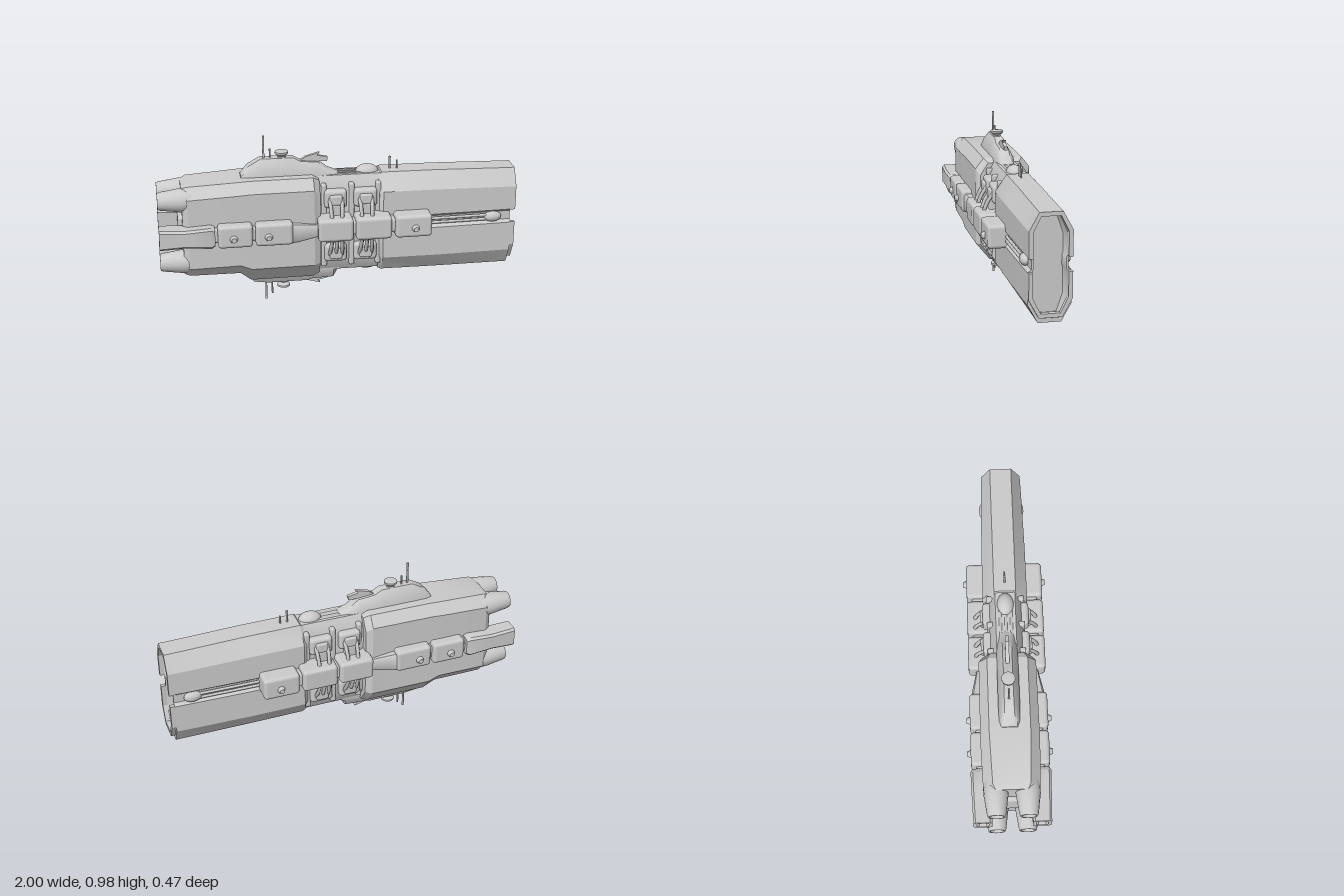
import * as THREE from 'three';
import { toCreasedNormals } from 'three/addons/utils/BufferGeometryUtils.js';
import { RoundedBoxGeometry } from 'three/addons/geometries/RoundedBoxGeometry.js';

const MID = 0.475; // height of the ship's long axis
const mat = new THREE.MeshStandardMaterial({ color: 0xcccccc });
const openMat = new THREE.MeshStandardMaterial({ color: 0xcccccc, side: THREE.DoubleSide });

// Chamfered half profile as [z, y], top to bottom, with an optional side groove
function half({ top, bot, w, tw, bw, ct, cb, g = 0 }) {
  const p = [[tw, top], [w, top - ct]];
  if (g) p.push([w, MID + 0.04], [w - g, MID + 0.025], [w - g, MID - 0.025], [w, MID - 0.04]);
  return [...p, [w, bot + cb], [bw, bot]];
}

// Skin through mirrored half profiles placed along x, capped at both ends
function loft(stations, crease = 0.5) {
  const rings = stations.map(([x, h]) => [
    ...h.map(([z, y]) => new THREE.Vector3(x, y, z)),
    ...[...h].reverse().map(([z, y]) => new THREE.Vector3(x, y, -z))]);
  const pos = [];
  const tri = (...v) => v.forEach(p => pos.push(p.x, p.y, p.z));
  const n = rings[0].length;
  const center = r => r.reduce((s, p) => s.add(p), new THREE.Vector3()).divideScalar(n);
  const first = rings[0], last = rings[rings.length - 1];
  const c0 = center(first), c1 = center(last);
  for (let j = 0; j < n; j++) {
    const k = (j + 1) % n;
    for (let i = 0; i + 1 < rings.length; i++) {
      const a = rings[i], b = rings[i + 1];
      tri(a[j], a[k], b[k]);
      tri(a[j], b[k], b[j]);
    }
    tri(c0, first[k], first[j]);
    tri(c1, last[j], last[k]);
  }
  const geo = new THREE.BufferGeometry();
  geo.setAttribute('position', new THREE.Float32BufferAttribute(pos, 3));
  return toCreasedNormals(geo, crease);
}

export function createModel() {
  const ship = new THREE.Group();
  ship.name = 'spaceship';
  const add = (name, geo, x = 0, y = 0, z = 0, m = mat) => {
    const mesh = new THREE.Mesh(geo, m);
    mesh.name = name;
    mesh.position.set(x, y, z);
    ship.add(mesh);
    return mesh;
  };
  const box = (name, x0, x1, y0, y1, z0, z1, r = 0.015) =>
    add(name, new RoundedBoxGeometry(x1 - x0, y1 - y0, z1 - z0, 2, r), (x0 + x1) / 2, (y0 + y1) / 2, (z0 + z1) / 2);
  const tube = (name, pts, r) =>
    add(name, new THREE.TubeGeometry(new THREE.CatmullRomCurve3(pts.map(p => new THREE.Vector3(...p))), 10, r, 6));
  const rod = (name, x, y0, y1, r, z = 0) =>
    add(name, new THREE.CylinderGeometry(r, r, Math.abs(y1 - y0), 6), x, (y0 + y1) / 2, z);

  // Forward hull with grooved sides and a recessed bow
  const fore = (x, top, bot, w, s = 0) => [x, half({
    top: top - s, bot: bot + s, w: w - s, tw: 0.06 - s * 0.5, bw: 0.06 - s * 0.5, ct: 0.095, cb: 0.095, g: 0.018 - s * 0.5 })];
  add('forwardHull', loft([fore(0.22, 0.745, 0.185, 0.11), fore(0.24, 0.76, 0.175, 0.124), fore(0.55, 0.757, 0.172, 0.122),
    fore(0.88, 0.748, 0.172, 0.115), fore(0.975, 0.746, 0.172, 0.112), fore(0.975, 0.746, 0.172, 0.112, 0.022),
    fore(0.92, 0.735, 0.182, 0.105, 0.026)]));

  // Bow rim in two arches, leaving the notch open between them
  for (const s of [1, -1]) {
    const arch = [[0.112, 0.037], [0.112, 0.176], [0.06, 0.271], [-0.06, 0.271], [-0.112, 0.176], [-0.112, 0.037],
      [-0.09, 0.037], [-0.09, 0.168], [-0.05, 0.249], [0.05, 0.249], [0.09, 0.168], [0.09, 0.037]];
    const shape = new THREE.Shape(arch.map(([z, y]) => new THREE.Vector2(z, (MID - 0.015) + s * (y + 0.015 * s))));
    const rim = new THREE.ExtrudeGeometry(shape, { depth: 0.027, bevelEnabled: false });
    add(s > 0 ? 'upperBowRim' : 'lowerBowRim', rim, 0.973).rotation.y = Math.PI / 2;
  }

  // Narrow waist between the hulls
  const waist = x => [x, half({ top: 0.755, bot: 0.19, w: 0.095, tw: 0.055, bw: 0.055, ct: 0.08, cb: 0.08 })];
  add('waist', loft([waist(-0.14), waist(0.25)]));
  for (const x of [-0.09, 0.065, 0.215]) box('waistRib', x - 0.015, x + 0.015, 0.23, 0.72, -0.105, 0.105, 0.01);

  // Broad rear hull, its belly stepping up toward the stern
  const aft = (x, top, bot, w, tw, bw, ct, cb) => [x, half({ top, bot, w, tw, bw, ct, cb })];
  add('rearHull', loft([
    aft(-0.87, 0.735, 0.235, 0.13, 0.085, 0.09, 0.06, 0.05), aft(-0.84, 0.748, 0.225, 0.152, 0.1, 0.1, 0.06, 0.06),
    aft(-0.56, 0.763, 0.222, 0.16, 0.11, 0.1, 0.06, 0.07), aft(-0.5, 0.766, 0.165, 0.158, 0.11, 0.075, 0.06, 0.1),
    aft(-0.15, 0.766, 0.165, 0.156, 0.11, 0.075, 0.06, 0.1), aft(-0.115, 0.745, 0.18, 0.135, 0.09, 0.07, 0.07, 0.09)]));

  // Engines: four tapered, hollow nozzles with housings
  const nozzle = [[0.05, -0.06], [0.066, 0], [0.066, 0.06], [0.06, 0.1], [0.051, 0.165], [0.046, 0.18],
    [0.038, 0.18], [0.03, 0.12], [0, 0.11]].map(p => new THREE.Vector2(...p));
  for (const y of [0.67, 0.31]) for (const z of [0.085, -0.085]) {
    add('engine', toCreasedNormals(new THREE.LatheGeometry(nozzle, 18), 0.6), -0.82, y, z, openMat).rotation.z = Math.PI / 2;
  }
  box('sternBlock', -0.895, -0.8, 0.39, 0.58, -0.1, 0.1, 0.02);

  // Side pods, struts and rails, the same on both sides
  for (const s of [1, -1]) {
    const sideBox = (name, x0, x1, y0, y1, z0, z1, r) =>
      box(name, x0, x1, y0, y1, s > 0 ? z0 : -z1, s > 0 ? z1 : -z0, r);
    for (const [x0, x1] of [[-0.685, -0.495], [-0.48, -0.275], [-0.135, 0.06], [0.075, 0.275], [0.295, 0.5]])
      sideBox('sidePod', x0, x1, 0.42, 0.55, 0.08, 0.215, 0.02);
    sideBox('podSpine', -0.72, -0.25, 0.445, 0.525, 0.13, 0.185);
    sideBox('podSpine', -0.1, 0.48, 0.445, 0.525, 0.1, 0.185);
    for (const x of [-0.6, -0.41, 0.405]) {
      const knob = add('podKnob', new THREE.CylinderGeometry(0.014, 0.026, 0.03, 10), x, 0.475, s * 0.22);
      knob.rotation.x = s * Math.PI / 2;
    }

    // Stern pod with a hollow rear end
    const pod = (x, hy, z0, z1) => [x, [[z1, MID + 0.01 + hy], [z1, MID + 0.01 - hy]].map(([z, y]) => [z, y]), z0];
    const stern = [pod(-0.95, 0.035, 0.135, 0.19), pod(-1, 0.04, 0.13, 0.195), pod(-1, 0.058, 0.112, 0.213),
      pod(-0.86, 0.05, 0.1, 0.21), pod(-0.72, 0.06, 0.1, 0.217), pod(-0.7, 0.05, 0.1, 0.2)]
      .map(([x, h, z0]) => {
        const c = (h[0][0] + z0) / 2, hz = (h[0][0] - z0) / 2;
        const e = 0.012, t = h[0][1], b = h[1][1];
        return [x, [[hz - e, t], [hz, t - e], [hz, b + e], [hz - e, b]], c];
      });
    const podGeo = loft(stern.map(([x, h]) => [x, h]), 0.7);
    add('sternPod', podGeo, 0, 0, s * 0.16);

    // Fairing that runs from the pods down into the hull
    const fair = (x, hy, hz) => [x, [[hz * 0.8, MID + hy], [hz, MID + hy * 0.7], [hz, MID - hy * 0.7], [hz * 0.8, MID - hy]]];
    add('podFairing', loft([fair(-0.29, 0.055, 0.06), fair(-0.24, 0.05, 0.05), fair(-0.1, 0.03, 0.02)], 0.8), 0, 0, s * 0.145);

    // Upper and lower waist pods tied to the side pods
    for (const [x0, x1] of [[-0.09, 0.035], [0.075, 0.205]]) {
      const c = (x0 + x1) / 2;
      for (const [y0, y1, v] of [[0.585, 0.69, 1], [0.265, 0.37, -1]]) {
        sideBox('waistPod', x0, x1, y0, y1, 0.06, 0.128, 0.02);
        sideBox('waistPodCap', c - 0.035, c + 0.035, y0 + 0.02, y1 - 0.025, 0.1, 0.142, 0.012);
        const yv = d => MID + v * d;
        for (const dx of v > 0 ? [-0.035, 0.035] : [-0.035, 0, 0.035])
          tube('strut', [[c + dx, yv(0.17), s * 0.118], [c + dx * 0.9, yv(0.12), s * 0.152], [c + dx * 0.8, yv(0.06), s * 0.175]], 0.011);
      }
      sideBox('strutPlate', c - 0.03, c + 0.03, 0.5, 0.61, 0.08, 0.14, 0.01);
    }

    // Rails in the forward groove, ending in a rounded lamp
    for (const y of [0.463, 0.487])
      tube('sideRail', [[0.48, y, s * 0.114], [0.68, y, s * 0.112], [0.87, y, s * 0.108]], 0.009);
    const lamp = add('grooveLamp', new THREE.SphereGeometry(0.03, 14, 10), 0.87, MID, s * 0.105);
    lamp.scale.set(1.7, 1, 0.85);
  }

  // Bridge on the back and keel block on the belly
  const tower = (x, y0, y1, w0, w1) => [x, [[w1 * 0.7, y1], [w1, y1 - (y1 - y0) * 0.15], [w0, y0 + (y1 - y0) * 0.35], [w0, y0]]];
  add('bridge', loft([tower(-0.54, 0.74, 0.772, 0.05, 0.04), tower(-0.5, 0.74, 0.82, 0.056, 0.04), tower(-0.43, 0.74, 0.86, 0.058, 0.036),
    tower(-0.25, 0.74, 0.858, 0.058, 0.034), tower(-0.21, 0.74, 0.835, 0.058, 0.036), tower(-0.11, 0.74, 0.825, 0.056, 0.036),
    tower(-0.06, 0.73, 0.785, 0.05, 0.035), tower(0, 0.73, 0.758, 0.045, 0.035)], 0.6));
  const keel = (x, y, w) => [x, [[0.06, 0.24], [0.06, 0.19], [w, y + 0.03], [w * 0.7, y]]];
  add('keel', loft([keel(-0.54, 0.21, 0.05), keel(-0.48, 0.135, 0.055), keel(-0.4, 0.122, 0.05), keel(-0.18, 0.122, 0.05),
    keel(-0.15, 0.132, 0.055), keel(-0.03, 0.135, 0.05), keel(0, 0.185, 0.04)], 0.6));

  // Masts, sensor dishes and swept fins above and below
  rod('tallMast', -0.41, 0.84, 0.985, 0.006);
  rod('shortMast', -0.375, 0.84, 0.91, 0.005);
  rod('lowerTallMast', -0.41, 0.14, 0.008, 0.006);
  rod('lowerShortMast', -0.375, 0.14, 0.04, 0.005);
  rod('foreMast', 0.295, 0.74, 0.83, 0.006);
  rod('foreShortMast', 0.335, 0.74, 0.805, 0.005);
  const dish = [[0, 0], [0.028, 0], [0.022, 0.02], [0.037, 0.036], [0.037, 0.046], [0, 0.05]].map(p => new THREE.Vector2(...p));
  for (const [y, flip] of [[0.845, 0], [0.13, Math.PI]])
    add('sensorDish', toCreasedNormals(new THREE.LatheGeometry(dish, 16), 0.6), -0.31, y, 0, openMat).rotation.x = flip;
  const finShape = new THREE.Shape([[-0.22, 0], [-0.18, 0.03], [-0.1, 0.052], [-0.115, 0.035], [-0.055, 0.022], [-0.06, 0]]
    .map(p => new THREE.Vector2(...p)));
  const finGeo = new THREE.ExtrudeGeometry(finShape, { depth: 0.02, bevelEnabled: false }).translate(0, 0, -0.01);
  add('bridgeFin', finGeo, 0, 0.825);
  add('keelFin', finGeo, 0, 0.142).rotation.x = Math.PI;

  // Domes and pipes along the waist
  for (const [y, h] of [[0.75, 0.042], [0.19, 0.022]]) {
    add('waistDome', new THREE.SphereGeometry(1, 18, 12), 0.165, y, 0).scale.set(0.065, h, 0.046);
    for (const z of [-0.03, 0, 0.03])
      tube('waistPipe', [[-0.04, y, z], [0.06, y, z], [0.15, y, z]], 0.01);
  }
  return ship;
}
